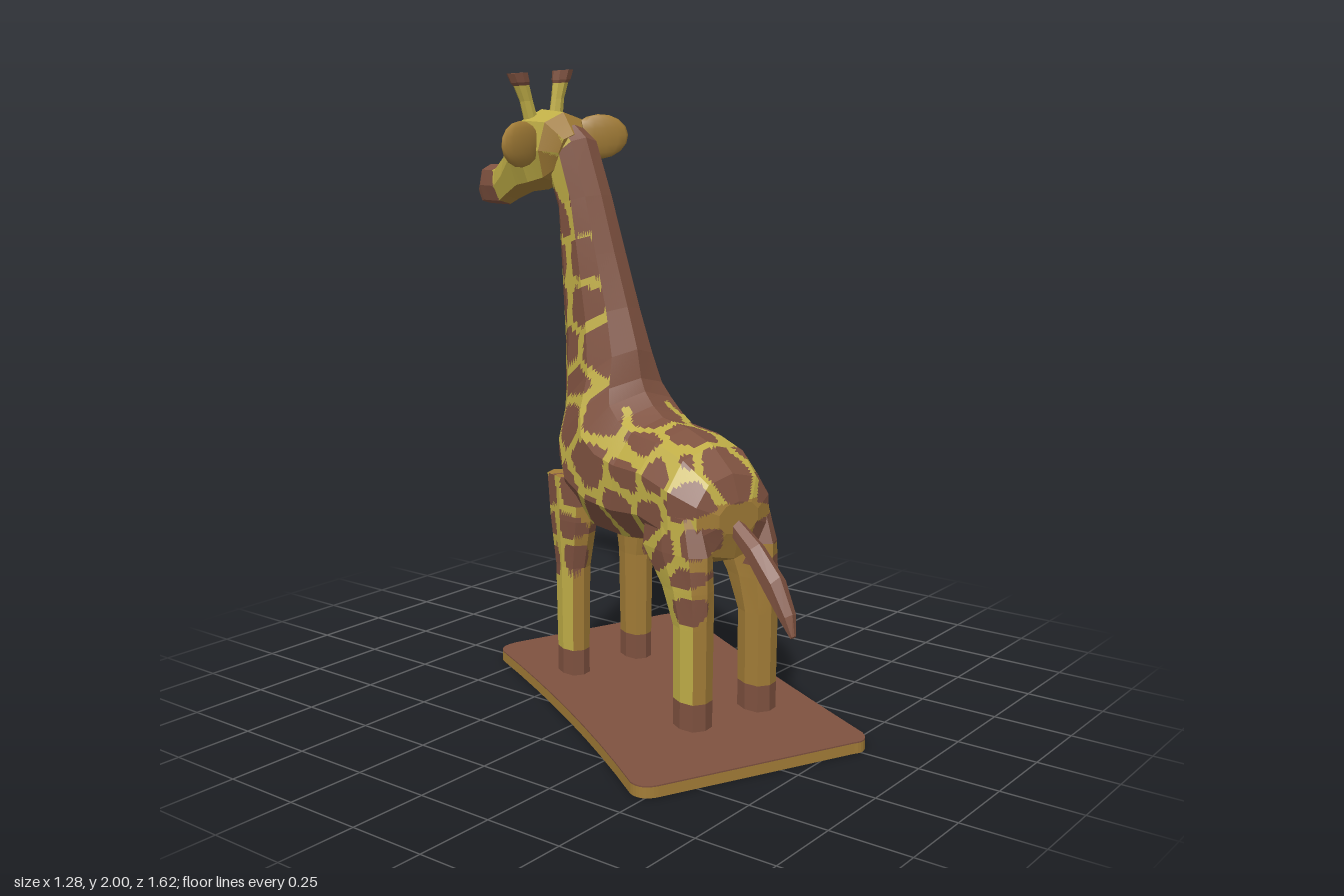
import * as THREE from 'three';

const mat = (name, color) => {
  const m = new THREE.MeshStandardMaterial({ color });
  m.name = name;
  return m;
};

// Spot centres: [z, y] on the flanks and legs, on the neck sides, and on the midline
const FLANK = [[.37, .72], [.26, .79], [.25, .66], [.15, .87], [.13, .77], [.1, .66], [-.06, .78], [-.06, .59],
  [-.17, .66], [-.2, .9], [-.05, .93], [-.33, .9], [-.33, .77], [-.29, .64], [.33, .58], [.41, .6], [-.19, .54],
  [-.28, .53], [-.18, .44], [-.27, .43], [.4, .5], [.41, .42], [.32, .86]];
const NECK = [[-.36, 1.0], [-.2, 1.0], [-.27, 1.11], [-.13, 1.12], [-.32, 1.25], [-.22, 1.25], [-.33, 1.39],
  [-.22, 1.4], [-.31, 1.52], [-.23, 1.56]];
const MIDLINE = [[.06, .92], [.22, .92], [.4, .82], [-.37, .68], [-.36, .86], [-.36, 1.04], [-.36, 1.2], [-.37, 1.36]];
const SEEDS = [];
for (const s of [-1, 1]) {
  for (const [z, y] of FLANK) SEEDS.push(new THREE.Vector3(s * .17, y, z));
  for (const [z, y] of NECK) SEEDS.push(new THREE.Vector3(s * .1, y, z));
}
for (const [z, y] of MIDLINE) SEEDS.push(new THREE.Vector3(0, y, z));

// A point lies in a spot when it is clearly nearer to one centre than to any other
function inSpot(p) {
  let d1 = 9, d2 = 9;
  for (const s of SEEDS) {
    const d = p.distanceTo(s);
    if (d < d1) { d2 = d1; d1 = d; } else if (d < d2) d2 = d;
  }
  return d2 - d1 > .028 && d1 < (p.y < .5 ? .06 : .115);
}

// Faceted loft. Section: [topZ, topY, bottomZ, bottomY, halfWidth, centreX].
// Faces are subdivided so that paint(point, normal) can pick a material index for each.
function loft(sections, sides, power, cuts, paint) {
  const bend = v => Math.sign(v) * Math.abs(v) ** power;
  const ring = ([tz, ty, bz, by, w, x = 0], k) => Array.from({ length: sides + 1 }, (_, j) => {
    const a = j / sides * Math.PI * 2, c = k * bend(Math.cos(a)) / 2, s = k * bend(Math.sin(a));
    return new THREE.Vector3(x + w * s, (ty + by) / 2 + c * (ty - by), (tz + bz) / 2 + c * (tz - bz));
  });
  const rings = [ring(sections[0], 0), ...sections.map(s => ring(s, 1)), ring(sections.at(-1), 0)];
  const buckets = [[], [], []];
  const e1 = new THREE.Vector3(), e2 = new THREE.Vector3(), mid = new THREE.Vector3();
  const tri = (a, b, c) => {
    const n = e1.subVectors(b, a).cross(e2.subVectors(c, a));
    if (n.length() < 1e-9) return;
    n.normalize();
    mid.copy(a).add(b).add(c).divideScalar(3);
    buckets[paint(mid, n)].push(...a.toArray(), ...b.toArray(), ...c.toArray());
  };
  for (let i = 0; i + 1 < rings.length; i++) {
    for (let j = 0; j < sides; j++) {
      const at = (u, v) => rings[i][j].clone().lerp(rings[i][j + 1], v)
        .lerp(rings[i + 1][j].clone().lerp(rings[i + 1][j + 1], v), u);
      for (let u = 0; u < cuts; u++) for (let v = 0; v < cuts; v++) {
        const a = at(u / cuts, v / cuts), b = at(u / cuts, (v + 1) / cuts);
        const c = at((u + 1) / cuts, (v + 1) / cuts), d = at((u + 1) / cuts, v / cuts);
        tri(a, b, c);
        tri(a, c, d);
      }
    }
  }
  const g = new THREE.BufferGeometry();
  g.setAttribute('position', new THREE.Float32BufferAttribute(buckets.flat(), 3));
  let start = 0;
  buckets.forEach((b, i) => {
    if (b.length) g.addGroup(start, b.length / 3, i);
    start += b.length / 3;
  });
  g.computeVertexNormals();
  return g;
}

export function createModel() {
  const model = new THREE.Group();
  const YELLOW = 0, BROWN = 1, OCHRE = 2;
  const mats = [mat('yellow', 0xc0ae47), mat('brown', 0x7f5240), mat('ochre', 0xa37d37)];
  const add = (parent, name, geometry, material = mats) => {
    const m = new THREE.Mesh(geometry, material);
    m.name = name;
    parent.add(m);
    return m;
  };

  // Base plate with rounded corners and a brown top
  const outline = new THREE.Shape();
  outline.moveTo(-.64, .45 * -1);
  outline.quadraticCurveTo(-.33, 0, -.06, .56);
  outline.quadraticCurveTo(-.03, .61, .05, .58);
  outline.lineTo(.59, .37);
  outline.quadraticCurveTo(.65, .35, .635, .27);
  outline.quadraticCurveTo(.34, -.23, .06, -.78);
  outline.quadraticCurveTo(.02, -.83, -.02, -.8);
  outline.lineTo(-.61, -.525);
  outline.quadraticCurveTo(-.66, -.5, -.64, -.45);
  const slab = (depth, y) => new THREE.ExtrudeGeometry(outline, { depth, bevelEnabled: false, curveSegments: 8 })
    .rotateX(-Math.PI / 2).translate(0, y, 0);
  add(model, 'base', slab(.032, 0), mats[OCHRE]);
  add(model, 'baseTop', slab(.004, .032), mats[BROWN]);

  // The animal stands slightly turned on its base
  const animal = new THREE.Group();
  animal.name = 'animal';
  animal.position.set(.015, 0, .004);
  animal.rotation.y = -.245;
  model.add(animal);

  // Body and neck, with brown mane down the back of the neck
  const bodySections = [
    [.44, .72, .44, .62, .08], [.41, .80, .42, .54, .15], [.32, .87, .33, .51, .19], [.2, .905, .18, .54, .195],
    [.08, .92, .04, .515, .195], [.03, .95, -.12, .52, .205], [-.01, .99, -.27, .57, .2], [-.03, 1.03, -.36, .72, .17],
    [-.05, 1.12, -.355, .87, .13], [-.1, 1.25, -.365, 1.1, .108], [-.155, 1.42, -.375, 1.35, .096, -.01],
    [-.21, 1.6, -.385, 1.55, .084, -.02], [-.27, 1.78, -.41, 1.64, .08, -.035], [-.31, 1.82, -.45, 1.68, .07, -.05]];
  add(animal, 'bodyAndNeck', loft(bodySections, 10, .88, 9, (p, n) => {
    if ((n.z > .5 && p.y > .95) || inSpot(p)) return BROWN;
    return (n.y < -.75 && p.y < .62) || (n.z > .55 && p.y < .72) ? OCHRE : YELLOW;
  }));

  // Legs: ochre behind and inside, small spots above, brown hooves
  const hind = [[.445, .325, .03, .05], [.445, .325, .12, .05], [.447, .325, .35, .052], [.45, .27, .46, .056],
    [.45, .17, .57, .06], [.41, .18, .68, .05]];
  const fore = [[-.17, -.28, .03, .043], [-.17, -.28, .12, .043], [-.165, -.285, .4, .046], [-.13, -.31, .56, .056],
    [-.12, -.33, .7, .055]];
  for (const [name, rows] of [['hindLeg', hind], ['frontLeg', fore]]) {
    for (const s of [-1, 1]) {
      const sections = rows.map(([back, front, y, w]) => [back, y, front, y, w, s * .13]);
      add(animal, (s > 0 ? 'right' : 'left') + name, loft(sections, 8, .75, 8, (p, n) => {
        if (p.y < .12 || inSpot(p)) return BROWN;
        return s * n.x * .8 - n.z * .6 > 0 ? YELLOW : OCHRE;
      })).name = name;
    }
  }

  // Tail, listed from tip to root
  const tail = [[.69, .37, .68, .36, .01, -.005], [.675, .43, .64, .40, .026], [.62, .53, .59, .455, .035],
    [.53, .61, .50, .55, .032], [.41, .68, .41, .62, .025]];
  add(animal, 'tail', loft(tail, 6, .9, 1, () => BROWN));

  // Head group, tipped a little to one side
  const head = new THREE.Group();
  head.name = 'head';
  head.position.set(-.065, 1.75, 0);
  head.rotation.z = .07;
  animal.add(head);
  const lower = g => g.translate(0, -1.75, 0);

  // Skull and muzzle with painted eyes and brown nose
  const skull = [[-.29, 1.79, -.33, 1.68, .05], [-.34, 1.86, -.38, 1.63, .095], [-.46, 1.87, -.45, 1.61, .107],
    [-.55, 1.83, -.54, 1.6, .088], [-.63, 1.735, -.64, 1.57, .066], [-.71, 1.685, -.69, 1.55, .054],
    [-.79, 1.685, -.79, 1.55, .05], [-.81, 1.65, -.81, 1.55, .044]];
  add(head, 'skull', lower(loft(skull, 8, .78, 10, (p, n) => {
    const eye = Math.abs(n.x) > .3 && Math.hypot(p.z + .5, p.y - 1.74) < .045;
    if (eye || p.z < -.705 - .3 * (p.y - 1.62)) return BROWN;
    return n.y < -.7 || n.z > .6 ? OCHRE : YELLOW;
  })));

  for (const s of [-1, 1]) {
    // Ears sweep sideways and back
    const ear = add(head, 'ear', new THREE.SphereGeometry(1, 14, 8), mats[OCHRE]);
    ear.scale.set(.1, .073, .022);
    ear.position.set(s * .155, .02, -.365);
    ear.rotation.y = -s * .35;

    // Horns flare toward brown tips
    const horn = [[1.82, .022, .045], [1.9, .02, .062], [1.95, .024, .077], [1.96, .029, .081], [1.99, .032, .09]]
      .map(([y, r, x]) => [-.455 + r, y, -.455 - r, y, r * 1.15, s * x]);
    add(head, 'horn', lower(loft(horn, 8, 1, 2, p => (p.y > 1.95 ? BROWN : YELLOW))));
  }
  return model;
}
